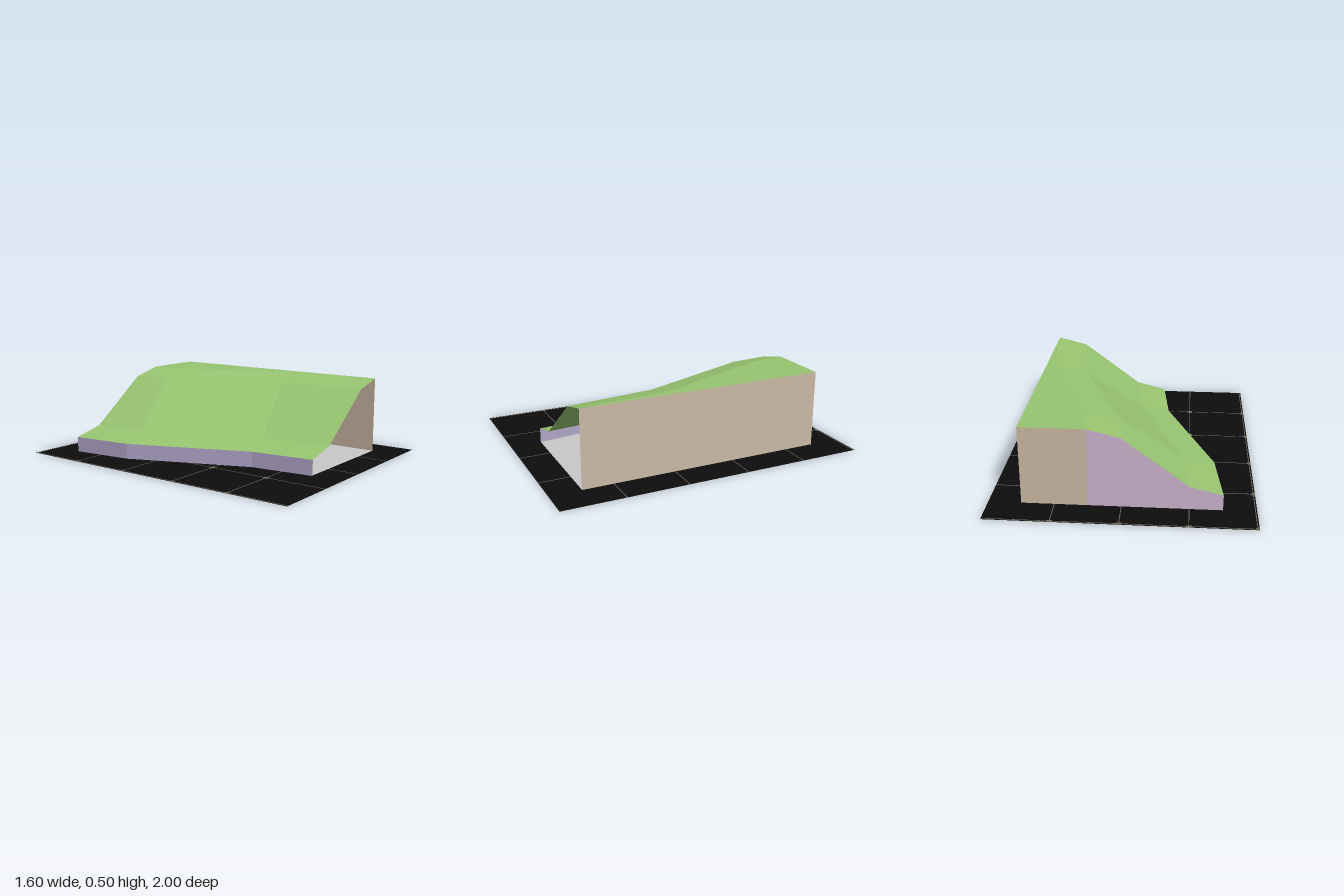
import * as THREE from 'three';

const mat = (name, color, side = THREE.DoubleSide) => {
  const m = new THREE.MeshStandardMaterial({ color, side });
  m.name = name;
  return m;
};

// Surface through rows of points; every quad keeps its own flat normals
function loft(rows) {
  const pos = [];
  for (let i = 0; i < rows.length - 1; i++) {
    for (let j = 0; j < rows[i].length - 1; j++) {
      const a = rows[i][j], b = rows[i][j + 1];
      const c = rows[i + 1][j + 1], d = rows[i + 1][j];
      pos.push(...a, ...b, ...c, ...a, ...c, ...d);
    }
  }
  const g = new THREE.BufferGeometry();
  g.setAttribute('position', new THREE.Float32BufferAttribute(pos, 3));
  g.computeVertexNormals();
  return g;
}

const flat = (points) =>
  new THREE.ShapeGeometry(new THREE.Shape(points.map(([x, y]) => new THREE.Vector2(x, y))));

export function createModel() {
  const group = new THREE.Group();
  const green = mat('grass green', 0x98c570);
  const tan = mat('tan', 0xccb9a4);
  const lavender = mat('lavender', 0xcdb5ce);
  const purple = mat('dusty purple', 0xb0a5c8);
  const black = mat('black', 0x0d0d0d);
  const grey = mat('grid grey', 0x6e695f);
  const pale = mat('pale grey', 0xc8c8c8);

  const add = (name, geometry, material, x = 0, y = 0, z = 0) => {
    const mesh = new THREE.Mesh(geometry, material);
    mesh.name = name;
    mesh.position.set(x, y, z);
    group.add(mesh);
    return mesh;
  };

  // Contours of the hillside, each at one height, running back to front
  const contour = (y, pts) => pts.map(([x, z]) => [x, y, z]);
  const foot = contour(0.1, [[-0.6, -0.8], [-0.555, -0.39], [-0.245, 0.39], [-0.2, 0.8]]);
  const rows = [
    foot,
    contour(0.15, [[-0.4, -0.8], [-0.36, -0.435], [-0.05, 0.335], [0, 0.8]]),
    contour(0.45, [[0, -0.8], [0.025, -0.535], [0.335, 0.235], [0.4, 0.8]]),
    contour(0.5, [[0.2, -0.8], [0.22, -0.585], [0.535, 0.19], [0.6, 0.8]]),
    contour(0.5, [[0.6, -0.8], [0.6, -0.585], [0.6, 0.19], [0.6, 0.8]]),
  ];
  add('hillside', loft(rows), green);

  // Walls; the front end is open
  const ground = foot.map(([x, , z]) => [x, 0, z]);
  add('footWall', loft([ground, foot]), purple);
  add('tallWall', loft([
    [[0.6, 0.5, -0.8], [0.6, 0.5, 0.8]],
    [[0.6, 0, -0.8], [0.6, 0, 0.8]],
  ]), tan);
  add('backWallSlope',
    flat([[-0.6, 0], [0.2, 0], [0.2, 0.5], [0, 0.45], [-0.4, 0.15], [-0.6, 0.1]]),
    lavender, 0, 0, -0.8);
  add('backWallTop', flat([[0.2, 0], [0.6, 0], [0.6, 0.5], [0.2, 0.5]]), tan, 0, 0, -0.8);

  // Pale floor inside the hill
  const floor = [...foot.map(([x, , z]) => [x, -z]), [0.6, -0.8], [0.6, 0.8]];
  add('innerFloor', flat(floor), pale, 0, 0.004, 0).rotation.x = -Math.PI / 2;

  // Base sheet with its grid of fine lines and crossing marks
  add('baseSheet', new THREE.PlaneGeometry(1.6, 2).rotateX(-Math.PI / 2), black, 0, 0.001, 0);
  const xs = [-0.79, -0.4, 0, 0.4];
  const zs = [-0.99, -0.6, -0.2, 0.2, 0.6];
  for (const x of xs) add('gridLineLong', new THREE.BoxGeometry(0.005, 0.001, 2), grey, x, 0.0015, 0);
  for (const z of zs) add('gridLineCross', new THREE.BoxGeometry(1.6, 0.001, 0.005), grey, 0, 0.0015, z);
  for (const x of xs) {
    for (const z of zs) {
      add('gridMark', new THREE.BoxGeometry(x < -0.7 ? 0.02 : 0.035, 0.002, z < -0.9 ? 0.02 : 0.03),
        grey, x, 0.001, z);
    }
  }
  return group;
}
